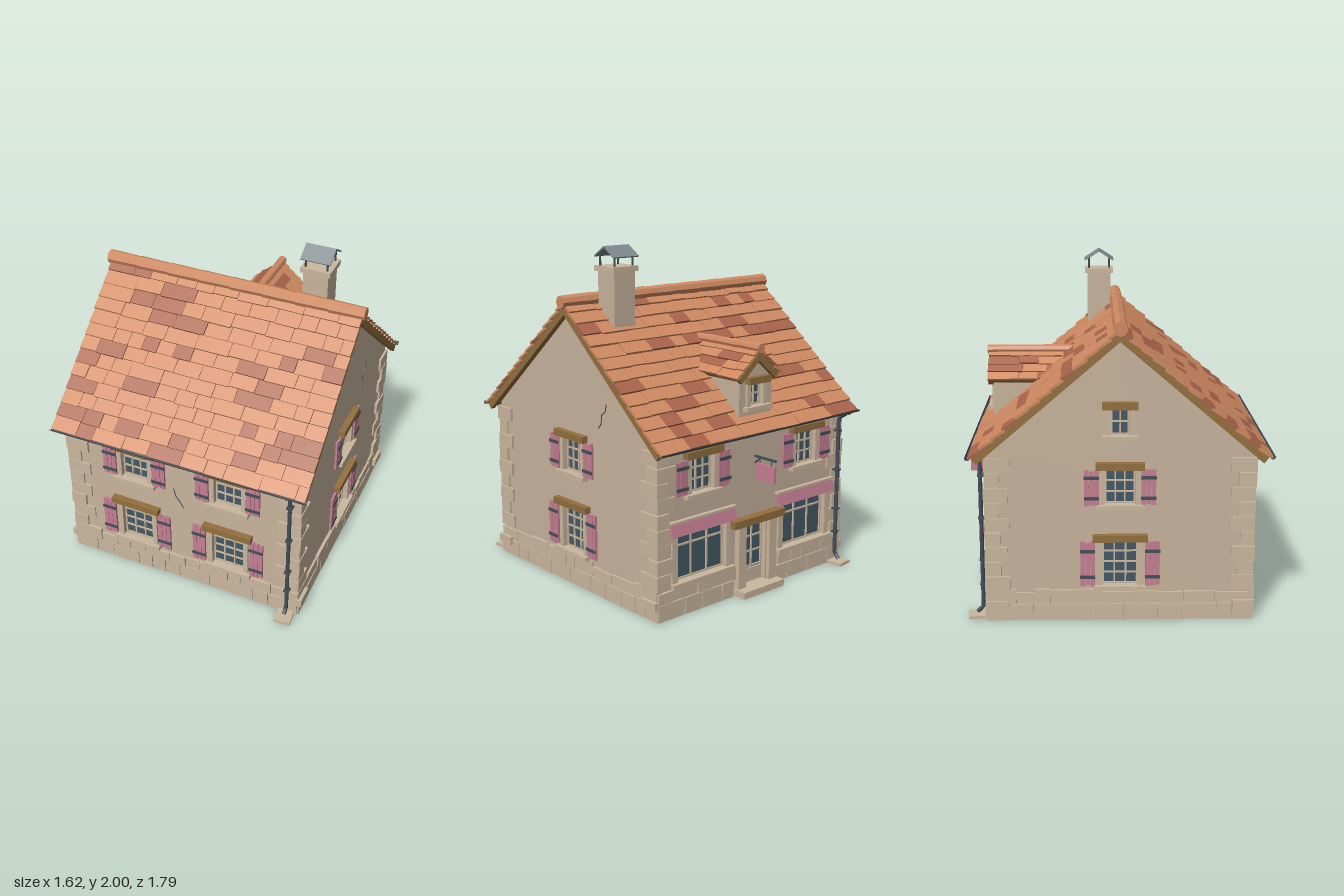
import * as THREE from 'three';
import { mergeGeometries } from 'three/addons/utils/BufferGeometryUtils.js';

const mat = (name, color, side = THREE.FrontSide) => {
  const m = new THREE.MeshStandardMaterial({ color, side });
  m.name = name;
  return m;
};
const WALL = mat('plaster', 0xc8b49c), STONE = mat('stone', 0xcbb89f), TILE = mat('terracotta', 0xcf8a62);
const DARK = mat('darkTerracotta', 0xa9644b), WOOD = mat('timber', 0x94703f), PINK = mat('pinkPaint', 0xc67f93);
const SLATE = mat('darkIron', 0x434f59, THREE.DoubleSide), GLASS = mat('glass', 0x435965), METAL = mat('zinc', 0x808a8e);

let seed = 7;
const rnd = (a = 0, b = 1) => {
  seed = (seed * 16807) % 2147483647;
  return a + (b - a) * (seed / 2147483647);
};

function add(parent, name, geo, m, x = 0, y = 0, z = 0) {
  const mesh = new THREE.Mesh(geo, m);
  mesh.name = name;
  mesh.position.set(x, y, z);
  parent.add(mesh);
  return mesh;
}
const box = (p, name, m, w, h, d, x, y, z) => add(p, name, new THREE.BoxGeometry(w, h, d), m, x, y, z);
const rod = (p, name, m, r, a, b) => add(p, name,
  new THREE.TubeGeometry(new THREE.LineCurve3(new THREE.Vector3(...a), new THREE.Vector3(...b)), 1, r, 6), m);
function group(parent, name, x = 0, y = 0, z = 0, ry = 0) {
  const g = new THREE.Group();
  g.name = name;
  g.position.set(x, y, z);
  g.rotation.y = ry;
  parent.add(g);
  return g;
}

// Wall panel with rectangular openings, outer face on local z = 0
function panel(parent, name, pts, openings, depth) {
  const s = new THREE.Shape(pts.map(p => new THREE.Vector2(...p)));
  for (const o of openings) {
    const a = o.x - o.w / 2, b = o.x + o.w / 2;
    s.holes.push(new THREE.Path([[a, o.y0], [a, o.y1], [b, o.y1], [b, o.y0]].map(p => new THREE.Vector2(...p))));
  }
  add(parent, name, new THREE.ExtrudeGeometry(s, { depth, bevelEnabled: false }), WALL, 0, 0, -depth);
}

// Glass, glazing bars and stone surround
function glazing(g, { w, y0, y1, cols, rows, trim = 0.03 }) {
  const h = y1 - y0, cy = (y0 + y1) / 2;
  box(g, 'glass', GLASS, w, h, 0.008, 0, cy, -0.03);
  for (let i = 0; i <= cols; i++) box(g, 'glazingBar', STONE, 0.009, h, 0.014, (i / cols - 0.5) * (w - 0.009), cy, -0.024);
  for (let j = 0; j <= rows; j++) box(g, 'glazingBar', STONE, w, 0.009, 0.012, 0, y0 + 0.0045 + (j / rows) * (h - 0.009), -0.024);
  for (const s of [-1, 1]) box(g, 'surround', STONE, trim, h, 0.02, s * (w + trim) / 2, cy, 0.004);
}

function windowUnit(parent, o) {
  const g = group(parent, 'window', o.x);
  glazing(g, o);
  box(g, 'sill', STONE, o.w + 0.1, 0.025, 0.05, 0, o.y0 - 0.0125, 0.012);
  const lintel = box(g, 'lintel', WOOD, o.lintel, 0.04, 0.05, 0, o.y1 + 0.02, 0.014);
  lintel.rotation.z = rnd(-0.015, 0.015);
  if (!o.shutter) return;
  const h = o.y1 - o.y0;
  for (const s of [-1, 1]) {
    const sh = group(g, 'shutter', s * o.shutter);
    for (let i = -1; i <= 1; i++) {
      const ph = h + rnd(-0.015, 0.006);
      box(sh, 'plank', PINK, 0.026, ph, 0.014, i * 0.028, o.y0 + h / 2 + rnd(-0.004, 0.004), 0.012 + rnd(0, 0.003));
    }
    for (const t of [0.2, 0.78]) box(sh, 'hingeStrap', SLATE, 0.086, 0.018, 0.006, 0, o.y0 + h * t, 0.025);
  }
}

// Two uneven courses of base stones
function plinth(parent, half, skip = 0) {
  for (const [y, h] of [[0, 0.1], [0.1, 0.08]]) {
    for (let x = -half; x < half - 0.001;) {
      let w = rnd(0.08, 0.2);
      if (half - x - w < 0.06) w = half - x;
      const c = x + w / 2, hh = h + (y ? rnd(-0.02, 0.01) : -0.003);
      if (Math.abs(c) > skip) box(parent, 'baseStone', STONE, w - 0.004, hh, 0.04, c, y + hh / 2, -0.008 + rnd(0, 0.007));
      x += w;
    }
  }
}

function crack(parent, pts) {
  for (let i = 0; i < pts.length - 1; i++) {
    const [a, b] = [pts[i], pts[i + 1]], dx = b[0] - a[0], dy = b[1] - a[1];
    box(parent, 'crack', SLATE, 0.005, Math.hypot(dx, dy), 0.004, (a[0] + b[0]) / 2, (a[1] + b[1]) / 2, 0.001)
      .rotation.z = Math.atan2(-dx, dy);
  }
}

// One roof pitch: ridge on local z = 0, running down along +z
const PITCH = Math.atan(0.857);
function slope(parent, half, len, rows, ry, tails) {
  const g = group(parent, 'roofPitch');
  g.rotation.set(PITCH, ry, 0, 'YXZ');
  box(g, 'roofDeck', WOOD, half * 2 - 0.05, 0.025, len - 0.01, 0, -0.034, len / 2);
  for (const s of [-1, 1]) box(g, 'bargeBoard', WOOD, 0.026, 0.044, len - 0.01, s * (half - 0.022), -0.04, len / 2);
  for (let i = 0; i < tails; i++) box(g, 'rafterTail', WOOD, 0.03, 0.03, 0.13, (i / (tails - 1) - 0.5) * 1.4, -0.06, len - 0.085);
  const sets = [[], []], p = len / rows;
  for (let r = 0; r < rows; r++) {
    for (let x = -half; x < half - 0.001;) {
      let w = rnd(0.09, 0.22);
      if (half - x - w < 0.06) w = half - x;
      const t = new THREE.BoxGeometry(w - 0.003, 0.015, p * 1.12);
      t.rotateX(-0.13).rotateY(rnd(-0.015, 0.015));
      t.translate(x + w / 2, -0.013 + rnd(-0.002, 0.003), (r + 0.52) * p + rnd(-0.004, 0.004));
      sets[rnd() < 0.24 ? 1 : 0].push(t);
      x += w;
    }
  }
  sets.forEach((s, i) => s.length && add(g, i ? 'darkTiles' : 'tiles', mergeGeometries(s), i ? DARK : TILE));
}

function ridge(parent, half, r, n) {
  const step = half * 2 / n;
  for (let i = 0; i < n; i++) {
    const geo = new THREE.CylinderGeometry(r, r * 0.9, step + 0.012, 8).toNonIndexed();
    geo.computeVertexNormals();
    add(parent, 'ridgeTile', geo, TILE, -half + (i + 0.5) * step, -0.008, 0).rotation.z = Math.PI / 2 + rnd(-0.02, 0.02);
  }
}

export function createModel() {
  const model = new THREE.Group();
  model.name = 'cottage';
  const house = group(model, 'house', 0, 0, 0.02);
  const HX = 0.74, HZ = 0.75;

  const lower = x => ({ x, w: 0.2, y0: 0.21, y1: 0.475, cols: 3, rows: 4, lintel: 0.31, shutter: 0.184 });
  const upper = x => ({ x, w: 0.17, y0: 0.69, y1: 0.895, cols: 3, rows: 3, lintel: 0.275, shutter: 0.16 });
  const attic = { x: 0, w: 0.1, y0: 1.09, y1: 1.24, cols: 2, rows: 2, lintel: 0.2 };
  const long = [[-0.69, 0], [0.69, 0], [0.69, 0.985], [-0.69, 0.985]];
  const gable = [[-HZ, 0], [HZ, 0], [HZ, 0.985], [0, 1.63], [-HZ, 0.985]];

  // Front
  const front = group(house, 'frontWall', 0, 0, HZ);
  const fw = [lower(-0.3), lower(0.3), upper(-0.3), upper(0.3)];
  panel(front, 'wall', long, fw, 0.05);
  fw.forEach(o => windowUnit(front, o));
  plinth(front, HX + 0.01);
  crack(front, [[-0.05, 0.7], [-0.037, 0.645], [-0.01, 0.61], [0.012, 0.57]]);

  // Gable ends
  for (const s of [1, -1]) {
    const side = group(house, s > 0 ? 'rightGable' : 'leftGable', s * HX, 0, 0, s * Math.PI / 2);
    const ws = [lower(0), upper(0)];
    if (s < 0) ws.push(attic);
    panel(side, 'wall', gable, ws, 0.05);
    ws.forEach(o => windowUnit(side, o));
    plinth(side, HZ + 0.01);
    if (s > 0) crack(side, [[0.245, 1.0], [0.27, 1.03], [0.275, 1.08], [0.31, 1.11], [0.318, 1.15]]);
  }

  // Back with the shop
  const back = group(house, 'shopWall', 0, 0, -HZ, Math.PI);
  const shop = x => ({ x, w: 0.37, y0: 0.2, y1: 0.46, cols: 3, rows: 1, trim: 0.04 });
  const door = { x: 0, w: 0.17, y0: 0.04, y1: 0.42, cols: 2, rows: 4, trim: 0.06 };
  const bw = [upper(-0.42), upper(0.42)], shops = [shop(-0.42), shop(0.42)];
  panel(back, 'wall', long, [...bw, ...shops, door], 0.05);
  bw.forEach(o => windowUnit(back, o));
  for (const o of shops) {
    const g = group(back, 'shopWindow', o.x);
    glazing(g, o);
    box(g, 'transom', STONE, o.w, 0.01, 0.014, 0, 0.4, -0.024);
    box(g, 'shopSill', STONE, 0.47, 0.025, 0.05, 0, 0.1875, 0.012);
    box(g, 'fascia', PINK, 0.49, 0.075, 0.016, 0, 0.508, 0.022).rotation.x = -0.22;
    box(g, 'fasciaCap', STONE, 0.5, 0.014, 0.03, 0, 0.55, 0.012);
  }
  plinth(back, HX + 0.01, 0.2);
  const entry = group(back, 'entrance');
  glazing(entry, door);
  box(entry, 'doorPanel', STONE, 0.15, 0.08, 0.014, 0, 0.085, -0.022);
  for (const s of [-1, 1]) box(entry, 'doorPillar', STONE, 0.06, 0.42, 0.05, s * 0.125, 0.21, 0.012);
  box(entry, 'doorLintel', WOOD, 0.41, 0.045, 0.07, 0, 0.442, 0.02);
  box(entry, 'doorstep', STONE, 0.33, 0.04, 0.15, 0, 0.02, 0.02);

  // Hanging sign
  const sign = group(back, 'hangingSign');
  box(sign, 'signArm', SLATE, 0.012, 0.012, 0.165, 0, 0.81, 0.0825);
  rod(sign, 'signBrace', SLATE, 0.005, [0, 0.77, 0], [0, 0.81, 0.05]);
  for (const z of [0.04, 0.13]) rod(sign, 'signHanger', SLATE, 0.004, [0, 0.77, z], [0, 0.81, z]);
  box(sign, 'signBoard', PINK, 0.016, 0.1, 0.145, 0, 0.725, 0.088);

  // Corner stones, gutters and downpipes
  for (const sx of [-1, 1]) for (const sz of [-1, 1]) {
    for (let i = 0; i < 9; i++) {
      const a = (i % 2 ? 0.14 : 0.09) + rnd(-0.01, 0.01), b = (i % 2 ? 0.09 : 0.14) + rnd(-0.01, 0.01), o = rnd(0.009, 0.018);
      box(house, 'cornerStone', STONE, a, 0.083, b, sx * (HX + o - a / 2), 0.223 + i * 0.087, sz * (HZ + o - b / 2));
    }
    box(house, 'cornerStone', STONE, 0.12, 0.05, 0.12, sx * (HX - 0.025), 0.095, sz * (HZ - 0.045));
  }
  for (const s of [1, -1]) {
    const g = group(house, 'gutter', 0, 0, 0, s > 0 ? 0 : Math.PI);
    add(g, 'gutterTrough', new THREE.CylinderGeometry(0.016, 0.016, 1.6, 8, 1, true, Math.PI, Math.PI), SLATE, 0, 0.978, 0.842)
      .rotation.z = Math.PI / 2;
    const path = new THREE.CurvePath();
    const pts = [[0.965, 0.84], [0.93, 0.785], [0.06, 0.785], [0.03, 0.82]].map(([y, z]) => new THREE.Vector3(0.69, y, z));
    for (let i = 0; i < 3; i++) path.add(new THREE.LineCurve3(pts[i], pts[i + 1]));
    add(g, 'downpipe', new THREE.TubeGeometry(path, 40, 0.012, 8), SLATE);
    for (const y of [0.2, 0.35, 0.6, 0.85]) box(g, 'pipeClip', SLATE, 0.034, 0.012, 0.04, 0.69, y, 0.78);
    box(g, 'splashStone', STONE, 0.1, 0.018, 0.1, 0.69, 0.011, 0.82).rotation.y = 0.1;
  }

  // Main roof
  const roof = group(house, 'roof', 0, 1.7, 0);
  slope(roof, 0.797, 1.106, 13, 0, 7);
  slope(roof, 0.797, 1.106, 13, Math.PI, 7);
  ridge(roof, 0.805, 0.042, 8);

  // Dormer
  const dormer = group(house, 'dormer', 0, 0, -0.745, Math.PI);
  const dw = { ...attic, y0: 1.11, lintel: 0.17 };
  panel(dormer, 'dormerWall', [[-0.13, 1.03], [0.13, 1.03], [0.13, 1.285], [0, 1.395], [-0.13, 1.285]], [dw], 0.32);
  windowUnit(dormer, dw);
  const cap = group(dormer, 'dormerRoof', 0, 1.45, -0.22, Math.PI / 2);
  slope(cap, 0.255, 0.237, 4, 0, 0);
  slope(cap, 0.255, 0.237, 4, Math.PI, 0);
  ridge(cap, 0.255, 0.028, 3);

  // Chimney
  const chimney = group(house, 'chimney', 0.49, 0, -0.107);
  box(chimney, 'stack', WALL, 0.15, 0.46, 0.147, 0, 1.63, 0);
  box(chimney, 'stackCap', STONE, 0.18, 0.03, 0.178, 0, 1.87, 0);
  for (const sx of [-1, 1]) for (const sz of [-1, 1])
    rod(chimney, 'cowlPost', SLATE, 0.006, [sx * 0.065, 1.88, sz * 0.065], [sx * 0.065, 1.955, sz * 0.065]);
  for (const s of [-1, 1])
    box(chimney, 'cowl', METAL, 0.18, 0.008, 0.108, 0, 1.967, s * 0.044).rotation.x = s * 0.57;
  return model;
}
